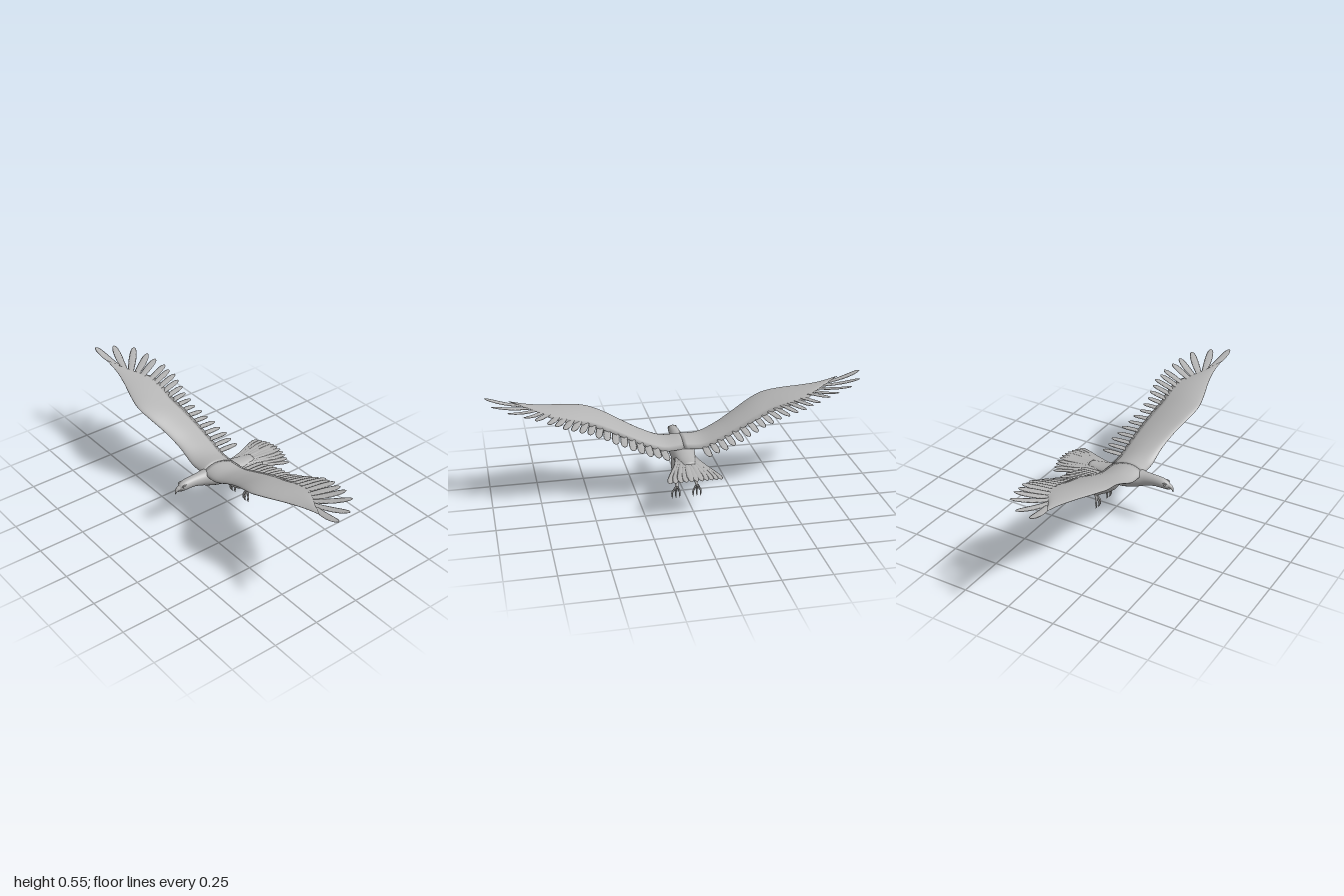
import * as THREE from 'three';

const V = (x, y, z) => new THREE.Vector3(x, y, z);
const grey = new THREE.MeshStandardMaterial({ color: 0xb4b4b4 });
grey.name = 'plumage grey';

// Skin closed rings of points into a capped, outward-facing smooth solid
function loft(rings) {
  const n = rings[0].length, m = rings.length, pos = [], idx = [];
  rings.forEach(r => r.forEach(p => pos.push(p.x, p.y, p.z)));
  for (let i = 0; i < m - 1; i++) for (let j = 0; j < n; j++) {
    const a = i * n + j, b = i * n + (j + 1) % n;
    idx.push(a, b, b + n, a, b + n, a + n);
  }
  [0, m - 1].forEach((r, end) => {
    const c = rings[r].reduce((s, p) => s.add(p), V(0, 0, 0)).divideScalar(n);
    const k = pos.length / 3;
    pos.push(c.x, c.y, c.z);
    for (let j = 0; j < n; j++) {
      const a = r * n + j, b = r * n + (j + 1) % n;
      if (end) idx.push(a, b, k); else idx.push(b, a, k);
    }
  });
  // Signed volume decides the winding
  let vol = 0;
  const at = i => V(pos[3 * i], pos[3 * i + 1], pos[3 * i + 2]);
  for (let i = 0; i < idx.length; i += 3) vol += at(idx[i]).dot(at(idx[i + 1]).cross(at(idx[i + 2])));
  if (vol < 0) idx.reverse();
  const g = new THREE.BufferGeometry();
  g.setAttribute('position', new THREE.Float32BufferAttribute(pos, 3));
  g.setIndex(idx);
  g.computeVertexNormals();
  return g;
}

// Elliptical limb along a smooth path; keys are [x, y, z, half width, half height]
function limb(keys, side = V(1, 0, 0), seg = 14, rad = 10) {
  const path = new THREE.CatmullRomCurve3(keys.map(k => V(k[0], k[1], k[2])));
  const size = new THREE.CatmullRomCurve3(keys.map((k, i) => V(k[3], k[4], i * 0.01)));
  const rings = [];
  for (let i = 0; i <= seg; i++) {
    const p = path.getPoint(i / seg), t = path.getTangent(i / seg), r = size.getPoint(i / seg);
    const s = side.clone().addScaledVector(t, -side.dot(t)).normalize();
    const up = t.clone().cross(s);
    const ring = [];
    for (let j = 0; j < rad; j++) {
      const a = j / rad * Math.PI * 2;
      ring.push(p.clone().addScaledVector(s, Math.cos(a) * Math.max(r.x, 0.0006))
        .addScaledVector(up, Math.sin(a) * Math.max(r.y, 0.0006)));
    }
    rings.push(ring);
  }
  return loft(rings);
}

function feather(root, tip, w, thick = 0.004, lift = 0) {
  const side = V(0, 1, 0).cross(tip.clone().sub(root)).normalize();
  const shape = [[0, 0.75, 1], [0.3, 0.9, 1], [0.6, 1, 0.8], [0.85, 0.85, 0.6], [0.96, 0.5, 0.5], [1, 0.08, 0.3]];
  return limb(shape.map(([f, a, b]) => {
    const p = root.clone().lerp(tip, f);
    return [p.x, p.y - lift * Math.sin(f * Math.PI), p.z, w * a, thick * b];
  }), side, 14, 8);
}

// Wing stations: [lead x, y, z, trail x, y, z, thickness]
const WING = [
  [0, .25, .155, 0, .25, -.03, .05],
  [.1, .256, .155, .1, .25, -.04, .045],
  [.2, .302, .157, .2, .288, -.04, .034],
  [.3, .355, .178, .3, .335, -.03, .03],
  [.4, .405, .21, .4, .38, -.015, .03],
  [.48, .435, .225, .48, .41, -.005, .028],
  [.58, .458, .207, .57, .437, -.01, .024],
  [.68, .476, .178, .66, .46, .0, .018],
  [.78, .495, .158, .72, .478, .05, .012],
  [.88, .52, .156, .8, .496, .11, .006],
];
// Tips of the trailing feathers, and the long finger feathers with their station
const TIPS = [[.11, .252, -.15], [.21, .285, -.145], [.31, .325, -.125], [.41, .365, -.1],
  [.51, .41, -.1], [.61, .45, -.118], [.7, .483, -.105]];
const FINGERS = [[.76, .5, -.085, 7.1], [.815, .515, -.07, 7.5], [.895, .53, -.035, 7.9],
  [.97, .537, .05, 8.3], [1, .547, .15, 8.8]];

export function createModel() {
  const model = new THREE.Group();
  model.name = 'soaringBird';
  const add = (name, geo, parent = model) => {
    const m = new THREE.Mesh(geo, grey);
    m.name = name;
    parent.add(m);
    return m;
  };

  // Head, neck and trunk: [z, bottom, top, half width]
  const trunk = [[.314, .216, .238, .009], [.3, .209, .25, .02], [.275, .207, .26, .026], [.24, .207, .264, .028],
    [.21, .202, .265, .03], [.17, .19, .267, .036], [.13, .175, .272, .05], [.08, .161, .275, .063],
    [.03, .154, .27, .066], [-.02, .158, .258, .06], [-.06, .178, .246, .052], [-.1, .19, .238, .045], [-.16, .2, .232, .03]];
  add('body', limb(trunk.map(([z, b, t, w]) => [0, (b + t) / 2, z, w, (t - b) / 2]), V(1, 0, 0), 48, 24));

  // Hooked beak
  add('upperBeak', limb([[0, .23, .298, .015, .016], [0, .228, .314, .012, .012], [0, .221, .326, .008, .009],
    [0, .21, .332, .005, .005], [0, .198, .334, .001, .001]]));
  add('lowerBeak', limb([[0, .214, .285, .015, .007], [0, .212, .305, .01, .005], [0, .211, .319, .003, .002]]));

  // Fanned, slightly arched tail
  const tail = new THREE.Group();
  tail.name = 'tail';
  model.add(tail);
  for (let i = -5; i <= 5; i++) {
    const u = i / 5, d = u * u;
    const y = i % 2 ? 0.001 : 0;
    add('tailFeather', limb([
      [.04 * u, .216 - .004 * d, -.04, .013, .012], [.062 * u, .217 - .006 * d + y, -.13, .014, .009],
      [.1 * u, .217 - .012 * d + y, -.22, .016, .005], [.122 * u, .215 - .014 * d + y, -.285 + .01 * d, .017, .003],
      [.13 * u, .214 - .015 * d + y, -.325 + .025 * d, .012, .002], [.132 * u, .213 - .015 * d, -.339 + .03 * d, .003, .001],
    ], V(1, 0, 0), 18, 8), tail);
  }

  for (const s of [1, -1]) {
    const label = s > 0 ? 'left' : 'right';
    const group = part => {
      const g = new THREE.Group();
      g.name = label + part;
      model.add(g);
      return g;
    };
    const curve = k => new THREE.CatmullRomCurve3(WING.map(w => V(s * w[k], w[k + 1], w[k + 2])));
    const lead = curve(0), trail = curve(3);
    const thick = new THREE.CatmullRomCurve3(WING.map((w, i) => V(i * .1, w[6], 0)));

    // Wing blade: rounded leading edge thinning to the trailing edge
    const wing = group('Wing'), rings = [], K = 12;
    for (let i = 0; i <= 45; i++) {
      const u = i / 45, a = lead.getPoint(u), b = trail.getPoint(u), h = thick.getPoint(u).y;
      const ring = [];
      for (let j = 0; j < 2 * K; j++) {
        const top = j <= K, f = (top ? j : 2 * K - j) / K, t = f * f;
        const half = h * (1.3 * Math.sqrt(t) * (1 - t) + 0.08 * t);
        const p = a.clone().lerp(b, t);
        p.y += 0.25 * h * Math.sin(t * Math.PI) + (top ? half : -half * 0.75) * (j === 0 ? 0 : 1);
        ring.push(p);
      }
      rings.push(ring);
    }
    add('wingBlade', loft(rings), wing);

    // Trailing feathers
    const tips = new THREE.CatmullRomCurve3(TIPS.map(p => V(s * p[0], p[1], p[2])));
    const N = 15;
    for (let i = 0; i < N; i++) {
      const f = i / (N - 1), u = (1.1 + 5.6 * f) / 9;
      const root = trail.getPoint(u).lerp(lead.getPoint(u), 0.3);
      const tip = tips.getPoint(f);
      tip.z += i % 2 ? 0.006 : 0;
      add('trailingFeather', feather(root, tip, 0.0195), wing);
    }
    // Long finger feathers at the wing tip
    FINGERS.forEach(([x, y, z, k], i) => {
      const root = trail.getPoint(k / 9).lerp(lead.getPoint(k / 9), 0.45);
      add('fingerFeather', feather(root, V(s * x, y, z), 0.021, 0.0035, i > 0 ? 0.006 : 0), wing);
    });

    // Leg with feathered thigh, thin shank and clawed foot
    const leg = group('Leg'), X = x => s * x;
    add('thigh', limb([[X(.035), .2, .015, .026, .04], [X(.043), .165, -.015, .026, .042], [X(.048), .13, -.042, .02, .031],
      [X(.051), .1, -.07, .013, .017], [X(.052), .078, -.09, .008, .009], [X(.052), .066, -.1, .006, .006]], V(1, 0, 0), 20, 14), leg);
    for (const o of [-1, 0, 1]) {
      const c = .054 + o * .004, e = .056 + o * .02;
      add('frontToe', limb([[X(c), .072, -.096, .006, .006], [X((c + e) / 2), .052, -.086, .005, .005],
        [X(e), .034, -.076 - .006 * Math.abs(o), .005, .005], [X(e), .015, -.074 - .006 * Math.abs(o), .004, .004],
        [X(e), .002, -.084, .001, .001]], V(1, 0, 0), 12, 8), leg);
    }
    add('hindToe', limb([[X(.052), .068, -.096, .006, .006], [X(.053), .077, -.115, .005, .005], [X(.054), .08, -.132, .004, .004],
      [X(.054), .077, -.141, .003, .003], [X(.054), .068, -.144, .001, .001]], V(1, 0, 0), 12, 8), leg);

    // Eye under a low brow
    add(label + 'Eye', new THREE.SphereGeometry(.006, 12, 8)).position.set(s * .0185, .237, .294);
    add(label + 'Brow', limb([[s * .017, .243, .305, .002, .002], [s * .02, .246, .294, .004, .003], [s * .021, .246, .28, .002, .002]], V(1, 0, 0), 8, 8));
  }
  return model;
}
